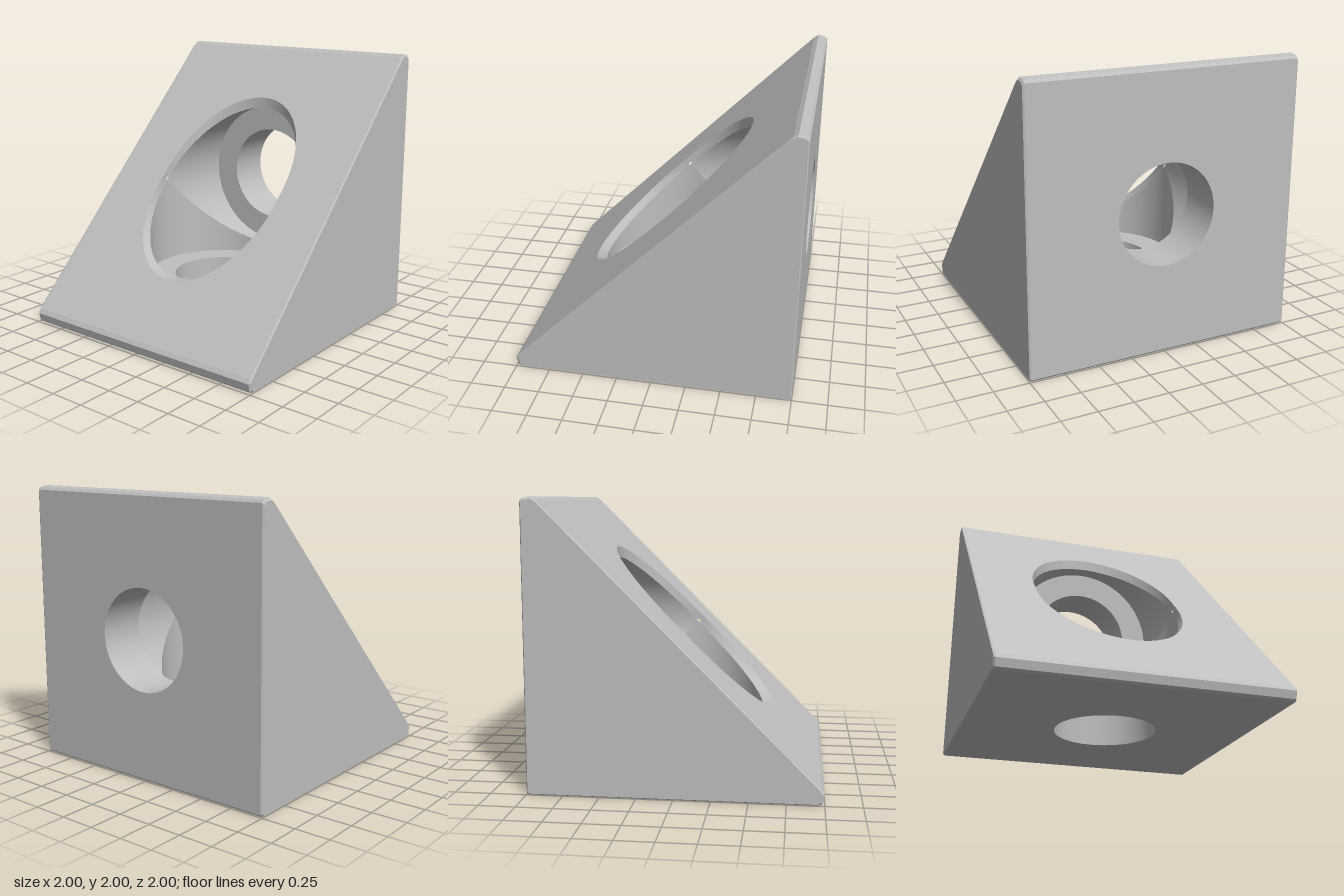
import * as THREE from 'three';

const W = 0.988;      // half width before the side chamfer
const HOLE = 0.36;    // through hole radius
const BORE = 0.55;    // counterbore radius
const FLOOR = -0.66;  // counterbore floor, measured from the block centre
const SLOPE = 0.08;   // the sloped face lies on y + z = SLOPE
const SEG = 64;

// Side profile as [z, y], from the bottom back corner round the front and up the slope
const PROFILE = [
  [-0.985, -1], [0.97, -1], [0.988, -0.985], [1, -0.93], [0.98, -0.9],
  [-0.9, 0.98], [-0.93, 1], [-0.985, 0.988], [-1, 0.97], [-1, -0.985],
];
const PIERCED = [0, 4, 8]; // bottom, slope and back are made separately, with holes

// Chamfered edges and the two side faces
function skinGeometry() {
  const pos = [];
  const tri = (...p) => p.forEach((v) => pos.push(...v));
  const quad = (a, b, c, d) => { tri(a, b, c); tri(a, c, d); };
  const inset = (v) => -0.3 + (v + 0.3) * 0.988;
  const flip = ([x, y, z]) => [-x, y, z];
  const mid = [1, -0.3, -0.3];
  PROFILE.forEach(([z, y], i) => {
    const [z2, y2] = PROFILE[(i + 1) % PROFILE.length];
    const r = [W, y, z], r2 = [W, y2, z2];
    const c = [1, inset(y), inset(z)], c2 = [1, inset(y2), inset(z2)];
    if (!PIERCED.includes(i)) quad(flip(r), r, r2, flip(r2));
    quad(r, c, c2, r2);
    quad(flip(r2), flip(c2), flip(c), flip(r));
    tri(mid, c2, c);
    tri(flip(mid), flip(c), flip(c2));
  });
  const g = new THREE.BufferGeometry();
  g.setAttribute('position', new THREE.Float32BufferAttribute(pos, 3));
  g.computeVertexNormals();
  return g;
}

// Upright cylinder wall facing its axis; low(z) and high(z) give its ends
function wallGeometry(radius, low, high, start = 0, end = Math.PI * 2) {
  const pos = [], nor = [], idx = [];
  for (let i = 0; i <= SEG; i++) {
    const t = start + (end - start) * i / SEG;
    const s = Math.sin(t), c = Math.cos(t), z = radius * c;
    pos.push(radius * s, low(z), z, radius * s, Math.max(low(z), high(z)), z);
    nor.push(-s, 0, -c, -s, 0, -c);
    const k = i * 2;
    if (i < SEG) idx.push(k, k + 1, k + 3, k, k + 3, k + 2);
  }
  const g = new THREE.BufferGeometry();
  g.setAttribute('position', new THREE.Float32BufferAttribute(pos, 3));
  g.setAttribute('normal', new THREE.Float32BufferAttribute(nor, 3));
  g.setIndex(idx);
  return g;
}

// Flat rectangle with one hole
function plateGeometry(v0, v1, hole) {
  const shape = new THREE.Shape([[-W, v0], [W, v0], [W, v1], [-W, v1]].map((p) => new THREE.Vector2(...p)));
  shape.holes.push(hole);
  return new THREE.ShapeGeometry(shape, SEG / 2);
}

export function createModel() {
  const grey = new THREE.MeshStandardMaterial({ color: 0xbfbfbf });
  grey.name = 'plain grey';
  const add = (parent, name, geometry) => {
    const mesh = new THREE.Mesh(geometry, grey);
    mesh.name = name;
    parent.add(mesh);
  };

  const block = new THREE.Group();
  block.name = 'angleBlock';
  block.position.y = 1;
  add(block, 'sidesAndChamfers', skinGeometry());

  // Sloped face: its opening is the outline of the two overlapping counterbores
  const outline = [];
  const reach = Math.acos(-SLOPE / 2 / BORE);
  for (const side of [1, -1]) {
    for (let i = 0; i < SEG; i++) {
      const t = reach * (2 * i / SEG - 1);
      outline.push(new THREE.Vector2(
        side * BORE * Math.sin(t), side * (SLOPE / 2 + BORE * Math.cos(t)) * Math.SQRT2));
    }
  }
  const slope = plateGeometry(-1.329, 1.329, new THREE.Path(outline));
  slope.rotateX(-Math.PI / 4).translate(0, SLOPE / 2, SLOPE / 2);
  add(block, 'slopedFace', slope);

  // One counterbored hole with its outer face; the second is the same turned half round
  const base = new THREE.Group();
  base.name = 'bottomHole';
  const circle = new THREE.Path().absarc(0, 0, HOLE, 0, Math.PI * 2, true);
  add(base, 'outerFace', plateGeometry(-0.985, 0.97, circle).rotateX(Math.PI / 2).translate(0, -1, 0));
  add(base, 'throughHole', wallGeometry(HOLE, () => -1, () => FLOOR));
  add(base, 'counterboreFloor',
    new THREE.RingGeometry(HOLE, BORE, SEG).rotateX(-Math.PI / 2).translate(0, FLOOR, 0));
  // Counterbore walls stop where the other counterbore crosses them
  add(base, 'lowerWall', wallGeometry(BORE, () => FLOOR, (z) => -Math.abs(z)));
  const start = Math.acos(SLOPE / 2 / BORE);
  add(base, 'upperWall',
    wallGeometry(BORE, (z) => Math.abs(z), (z) => SLOPE - z, start, Math.PI * 2 - start));

  const back = base.clone();
  back.name = 'backHole';
  back.quaternion.setFromAxisAngle(new THREE.Vector3(0, 1, 1).normalize(), Math.PI);
  block.add(base, back);

  const model = new THREE.Group();
  model.name = 'model';
  model.add(block);
  return model;
}
